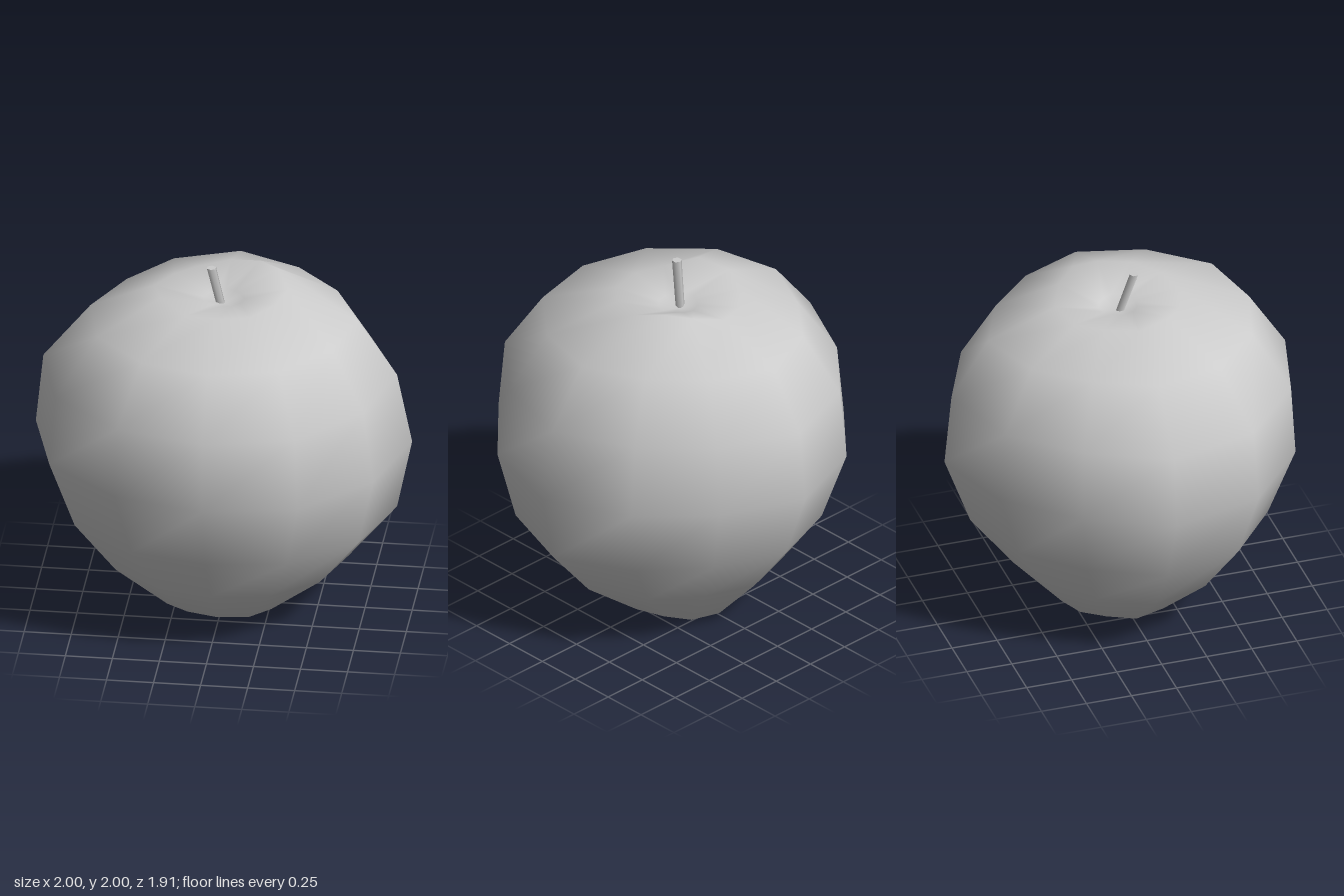
import * as THREE from 'three';

const SIDES = 12;

// Uneven outline at the widest point, from +x towards +z
const girth = [1, 0.986, 0.99, 0.95, 0.96, 1, 1, 0.895, 0.92, 0.96, 0.887, 0.904];
// Wavy heights of the shoulder rim and the base rim
const rimY = [1.86, 1.85, 1.83, 1.83, 1.82, 1.86, 1.84, 1.83, 1.82, 1.84, 1.88, 1.9];
const baseY = [0.03, 0.04, 0.05, 0.06, 0.06, 0.04, 0.03, 0.03, 0.02, 0.01, 0, 0.02];

// Rings from bottom to top: height, then scale of the girth at +x, +z, -x, -z
const rings = [
  { y: 0.07, s: [0.1, 0.1, 0.1, 0.1] },
  { y: baseY, s: [0.31, 0.34, 0.32, 0.32] },
  { y: 0.3, s: [0.66, 0.59, 0.63, 0.6] },
  { y: 0.61, s: [0.92, 0.84, 0.86, 0.85] },
  { y: 1.0, s: [1, 1, 1, 1] },
  { y: 1.39, s: [0.92, 0.98, 0.96, 0.96] },
  { y: 1.7, s: [0.71, 0.77, 0.71, 0.75] },
  { y: rimY, s: [0.34, 0.35, 0.37, 0.36] },
  { y: 1.79, s: [0.11, 0.11, 0.11, 0.11] },
];

function fruitGeometry() {
  const pos = [];
  const index = [];
  for (const { y, s } of rings) {
    for (let i = 0; i < SIDES; i++) {
      const a = (i / SIDES) * Math.PI * 2;
      const c = Math.cos(a), d = Math.sin(a);
      const scale = c * c * s[c > 0 ? 0 : 2] + d * d * s[d > 0 ? 1 : 3];
      const r = girth[i] * scale;
      pos.push(c * r, Array.isArray(y) ? y[i] : y, d * r);
    }
  }
  // Centres of the base hollow and the stem hollow
  const bottom = pos.length / 3;
  pos.push(0, 0.08, 0, 0, 1.76, 0);
  const top = bottom + 1;
  const last = (rings.length - 1) * SIDES;

  for (let i = 0; i < SIDES; i++) {
    const n = (i + 1) % SIDES;
    for (let j = 0; j < rings.length - 1; j++) {
      const a = j * SIDES + i, b = j * SIDES + n;
      index.push(a, a + SIDES, b, b, a + SIDES, b + SIDES);
    }
    index.push(bottom, i, n, top, last + n, last + i);
  }
  const geo = new THREE.BufferGeometry();
  geo.setAttribute('position', new THREE.Float32BufferAttribute(pos, 3));
  geo.setIndex(index);
  geo.computeVertexNormals();
  return geo;
}

export function createModel() {
  const group = new THREE.Group();
  group.name = 'apple';
  const material = new THREE.MeshStandardMaterial({ color: 0xcccccc });

  const fruit = new THREE.Mesh(fruitGeometry(), material);
  fruit.name = 'fruit';
  group.add(fruit);

  // Stem: a thin tapered rod sheared so both ends stay level
  const base = new THREE.Vector3(-0.012, 1.73, 0);
  const tip = new THREE.Vector3(-0.057, 2, 0.075);
  const height = tip.y - base.y;
  const stemGeo = new THREE.CylinderGeometry(0.026, 0.024, height, 6);
  stemGeo.translate(0, height / 2, 0);
  const p = stemGeo.attributes.position;
  for (let i = 0; i < p.count; i++) {
    const t = p.getY(i) / height;
    p.setX(i, p.getX(i) + (tip.x - base.x) * t);
    p.setZ(i, p.getZ(i) + (tip.z - base.z) * t);
  }
  const stem = new THREE.Mesh(stemGeo, material);
  stem.name = 'stem';
  stem.position.copy(base);
  group.add(stem);

  return group;
}
